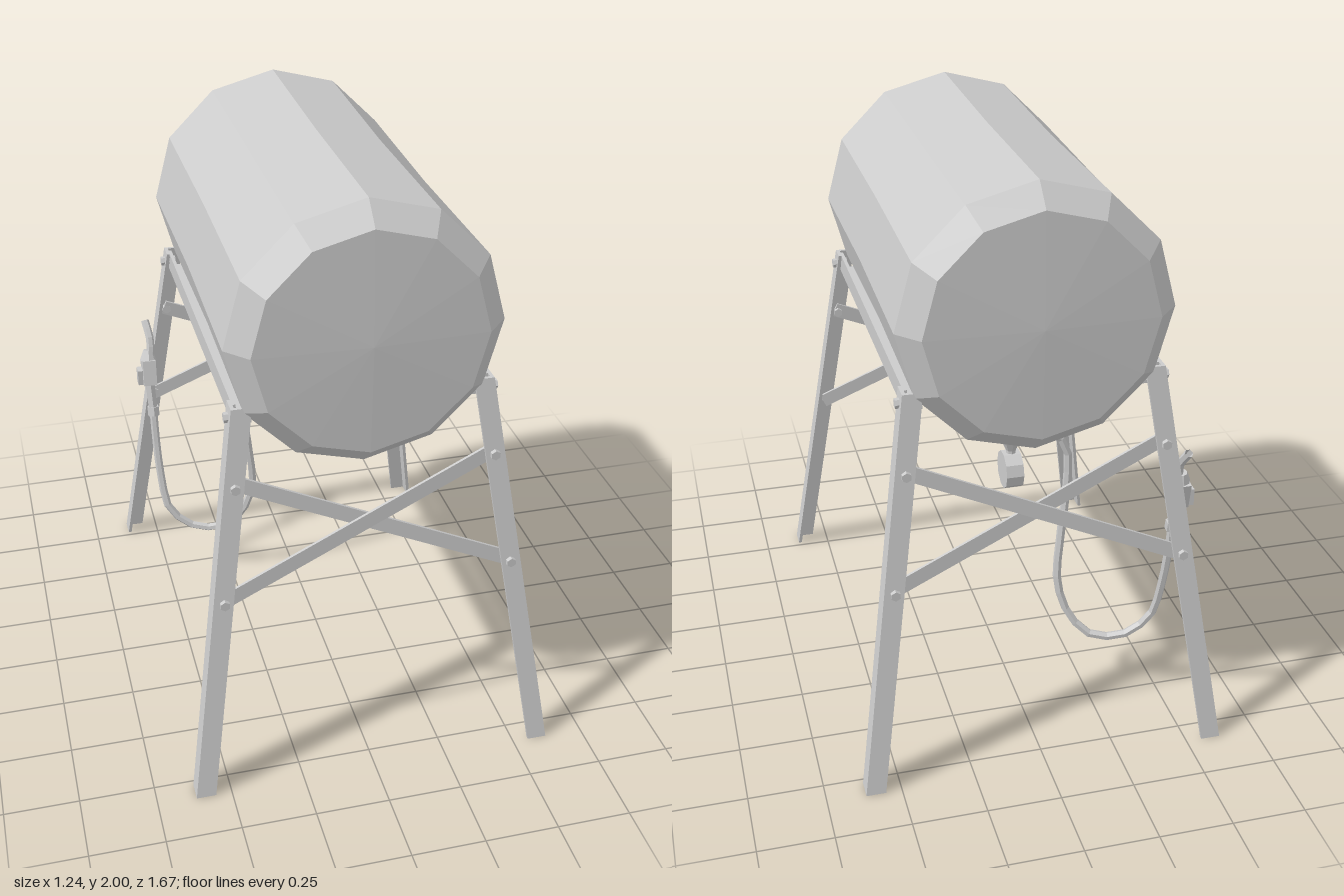
import * as THREE from 'three';

const mat = new THREE.MeshStandardMaterial({ color: 0xcccccc, flatShading: true, side: THREE.DoubleSide });
const V = (x, y, z) => new THREE.Vector3(x, y, z);

function add(parent, name, geo) {
  const mesh = new THREE.Mesh(geo, mat);
  mesh.name = name;
  parent.add(mesh);
  return mesh;
}

// Flat or square bar between two points, w across and t thick (t faces roughly z)
function bar(parent, name, a, b, w, t) {
  const dir = b.clone().sub(a);
  const mesh = add(parent, name, new THREE.BoxGeometry(dir.length(), w, t));
  const x = dir.normalize();
  const y = V(0, 0, 1).cross(x).normalize();
  const z = x.clone().cross(y);
  mesh.quaternion.setFromRotationMatrix(new THREE.Matrix4().makeBasis(x, y, z));
  mesh.position.copy(a).add(b).multiplyScalar(0.5);
  return mesh;
}

// Round rod between two points, radius ra at a and rb at b
function rod(parent, name, a, b, ra, rb = ra, sides = 8) {
  const dir = b.clone().sub(a);
  const mesh = add(parent, name, new THREE.CylinderGeometry(rb, ra, dir.length(), sides));
  mesh.quaternion.setFromUnitVectors(V(0, 1, 0), dir.normalize());
  mesh.position.copy(a).add(b).multiplyScalar(0.5);
  return mesh;
}

// Tube that follows straight pieces between its points
function pipe(parent, name, points, radius, sides) {
  const path = new THREE.CurvePath();
  for (let i = 1; i < points.length; i++) path.add(new THREE.LineCurve3(points[i - 1], points[i]));
  const curve = new THREE.CatmullRomCurve3(points, false, 'centripetal');
  return add(parent, name, new THREE.TubeGeometry(curve, points.length * 2 - 2, radius, sides));
}

// Outer corner of a leg at height y
const LEG_H = 1.35;
const legX = y => 0.62 - 0.195 * y / LEG_H;
const legZ = y => 0.835 - 0.208 * y / LEG_H;

// Splayed angle-iron leg; sx and sz choose the corner
function legGeometry(sx, sz) {
  const w = 0.066, t = 0.012;
  const profile = [[0, 0], [-w, 0], [-w, -t], [-t, -t], [-t, -w], [0, -w]];
  const shape = new THREE.Shape(profile.map(([a, b]) => new THREE.Vector2(a * sx, -b * sz)));
  const geo = new THREE.ExtrudeGeometry(shape, { depth: LEG_H, bevelEnabled: false });
  geo.rotateX(-Math.PI / 2);
  const p = geo.attributes.position;
  for (let i = 0; i < p.count; i++) {
    const y = p.getY(i);
    p.setX(i, p.getX(i) + sx * legX(y));
    p.setZ(i, p.getZ(i) + sz * legZ(y));
  }
  geo.computeVertexNormals();
  return geo;
}

export function createModel() {
  const model = new THREE.Group();
  model.name = 'fuelTankOnStand';

  // Twelve-sided tank with bevelled, slightly domed ends and a faint waist
  const profile = [[0, -0.715], [0.375, -0.7], [0.445, -0.625], [0.438, 0],
    [0.445, 0.625], [0.375, 0.7], [0, 0.715]].map(([r, y]) => new THREE.Vector2(r, y));
  const tank = add(model, 'tank', new THREE.LatheGeometry(profile, 12));
  tank.rotation.x = Math.PI / 2;
  tank.position.y = 1.555;

  // Stand
  const stand = new THREE.Group();
  stand.name = 'stand';
  model.add(stand);
  for (const sx of [1, -1]) {
    for (const sz of [1, -1]) {
      add(stand, 'leg', legGeometry(sx, sz));
      // Bolts through the braces and through the rail
      for (const y of [1.09, 0.7]) {
        const x = sx * (legX(y) - 0.036), z = sz * legZ(y);
        rod(stand, 'braceBolt', V(x, y, z - sz * 0.035), V(x, y, z + sz * 0.013), 0.017, 0.017, 6);
      }
      const bx = sx * legX(1.31), bz = sz * 0.597;
      rod(stand, 'railBolt', V(bx - sx * 0.04, 1.31, bz), V(bx + sx * 0.013, 1.31, bz), 0.017, 0.017, 6);
    }
    // Angle-iron rail under each flank of the tank
    add(stand, 'railSide', new THREE.BoxGeometry(0.012, 0.07, 1.19)).position.set(sx * 0.409, 1.315, 0);
    add(stand, 'railFlange', new THREE.BoxGeometry(0.06, 0.012, 1.19)).position.set(sx * 0.385, 1.286, 0);
  }
  // Crossed braces at both ends
  for (const sz of [1, -1]) {
    for (const sx of [1, -1]) {
      const inset = sx > 0 ? 0.019 : 0.03;
      bar(stand, 'brace',
        V(sx * (legX(1.09) - 0.025), 1.1, sz * (legZ(1.09) - inset)),
        V(-sx * (legX(0.7) - 0.025), 0.69, sz * (legZ(0.7) - inset)), 0.052, 0.01);
    }
  }

  // Outlet valve with filter bowl under the tank
  const outlet = new THREE.Group();
  outlet.name = 'outlet';
  outlet.position.set(0, 0, -0.333);
  model.add(outlet);
  rod(outlet, 'outletCollar', V(0, 1.05, 0), V(0, 1.125, 0), 0.048, 0.048, 6);
  rod(outlet, 'outletBody', V(0, 0.985, 0), V(0, 1.05, 0), 0.033);
  rod(outlet, 'outletTaper', V(0, 0.95, 0), V(0, 0.985, 0), 0.017, 0.033);
  rod(outlet, 'outletNeck', V(0, 0.9, 0), V(0, 0.95, 0), 0.017);
  rod(outlet, 'filterBowl', V(-0.03, 0.877, 0), V(0.03, 0.877, 0), 0.066, 0.066, 10);
  rod(outlet, 'hoseFitting', V(-0.09, 1.022, 0), V(-0.02, 1.028, 0), 0.021, 0.021, 6);

  // Hanging hose
  pipe(model, 'hose', [
    V(-0.06, 1.025, -0.333), V(-0.14, 1.005, -0.333), V(-0.197, 0.93, -0.334), V(-0.2, 0.8, -0.338),
    V(-0.175, 0.58, -0.355), V(-0.163, 0.42, -0.372), V(-0.2, 0.29, -0.395), V(-0.275, 0.207, -0.425),
    V(-0.39, 0.207, -0.455), V(-0.48, 0.29, -0.478), V(-0.502, 0.42, -0.505),
    V(-0.51, 0.56, -0.53), V(-0.512, 0.7, -0.55),
  ], 0.015, 6);

  // Nozzle hung beside the rear right leg
  const nozzle = new THREE.Group();
  nozzle.name = 'nozzle';
  model.add(nozzle);
  rod(nozzle, 'nozzleSwivel', V(-0.512, 0.685, -0.545), V(-0.512, 0.72, -0.553), 0.024, 0.024, 6);
  rod(nozzle, 'nozzleGrip', V(-0.512, 0.71, -0.55), V(-0.517, 0.83, -0.575), 0.017, 0.02, 6);
  bar(nozzle, 'nozzleBody', V(-0.517, 0.81, -0.575), V(-0.515, 0.905, -0.597), 0.05, 0.07);
  rod(nozzle, 'nozzleCap', V(-0.515, 0.9, -0.597), V(-0.512, 0.94, -0.607), 0.032, 0.018);
  add(nozzle, 'nozzleValve', new THREE.BoxGeometry(0.03, 0.06, 0.04)).position.set(-0.545, 0.84, -0.59);
  pipe(nozzle, 'spout', [V(-0.503, 0.92, -0.603), V(-0.5, 0.98, -0.618), V(-0.51, 1.04, -0.66)], 0.015, 6);
  pipe(nozzle, 'leverGuard', [V(-0.512, 0.7, -0.55), V(-0.514, 0.69, -0.59),
    V(-0.516, 0.71, -0.612), V(-0.518, 0.82, -0.615)], 0.009, 5);
  return model;
}
